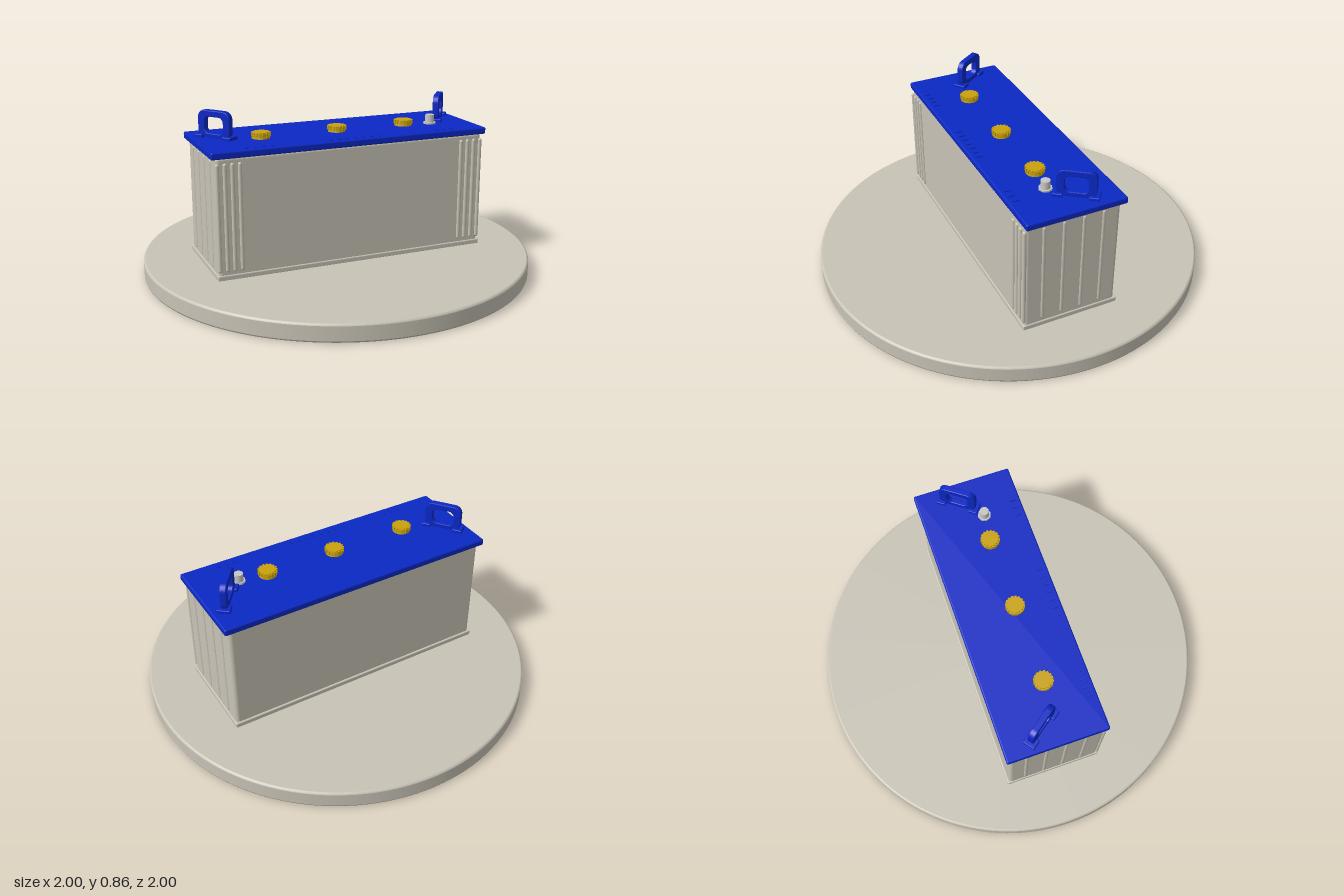
import * as THREE from 'three';
import { RoundedBoxGeometry } from 'three/addons/geometries/RoundedBoxGeometry.js';

const flat = (name, color) => Object.assign(new THREE.MeshStandardMaterial({ color }), { name });

// Rounded rectangle outline centred on (cx, cy)
function roundRect(target, cx, cy, w, h, r) {
  const x = cx - w / 2, y = cy - h / 2;
  target.moveTo(x + r, y);
  target.lineTo(x + w - r, y);
  target.absarc(x + w - r, y + r, r, -Math.PI / 2, 0);
  target.lineTo(x + w, y + h - r);
  target.absarc(x + w - r, y + h - r, r, 0, Math.PI / 2);
  target.lineTo(x + r, y + h);
  target.absarc(x + r, y + h - r, r, Math.PI / 2, Math.PI);
  target.lineTo(x, y + r);
  target.absarc(x + r, y + r, r, Math.PI, Math.PI * 1.5);
  return target;
}

export function createModel() {
  const model = new THREE.Group();
  model.name = 'batteryOnStand';
  const stone = flat('warmGrey', 0xc8c3b6);
  const blue = flat('blue', 0x0a28c4);
  const yellow = flat('yellow', 0xc9a20c);
  const lead = flat('leadGrey', 0xc6c6c4);

  function add(name, geometry, material, x = 0, y = 0, z = 0, parent = model) {
    const mesh = new THREE.Mesh(geometry, material);
    mesh.name = name;
    mesh.position.set(x, y, z);
    parent.add(mesh);
    return mesh;
  }
  const box = (w, h, d, r) => new RoundedBoxGeometry(w, h, d, 3, r);

  // Round stand with softened rims
  const rim = [[0, 0], [0.99, 0], [0.99, 0], [0.997, 0.003], [1, 0.01], [1, 0.01], [1, 0.08], [1, 0.08],
    [0.997, 0.087], [0.99, 0.09], [0.99, 0.09], [0, 0.09]].map(p => new THREE.Vector2(...p));
  add('stand', new THREE.LatheGeometry(rim, 128), stone);

  // Case and its foot flange
  add('case', box(1.42, 0.61, 0.49, 0.02), stone, 0, 0.39, 0.005);
  add('caseFlange', box(1.432, 0.028, 0.505, 0.006), stone, 0, 0.1, 0.003);

  // Vertical ribs at the front corners and on both ends
  const rib = new THREE.CapsuleGeometry(0.01, 0.515, 4, 12);
  for (const side of [-1, 1]) {
    for (let i = 0; i < 4; i++) add('frontRib', rib, stone, side * (0.592 + i * 0.037), 0.397, 0.25);
    for (let i = 0; i < 4; i++) add('endRib', rib, stone, side * 0.706, 0.397, 0.155 - i * 0.102);
  }

  // Lid
  add('lid', box(1.466, 0.035, 0.514, 0.008), blue, 0.002, 0.7015, -0.002);

  // Short raised ribs along the front of the lid
  for (const [start, count] of [[-0.55, 4], [-0.12, 7], [0.46, 3]])
    for (let i = 0; i < count; i++)
      add('lidRib', new THREE.BoxGeometry(0.008, 0.006, 0.03), blue, start + i * 0.043, 0.721, 0.217);

  // Carry handles: a rounded loop standing on two feet, set diagonally
  const loop = roundRect(new THREE.Shape(), 0, 0.07, 0.19, 0.14, 0.04);
  loop.holes.push(roundRect(new THREE.Path(), 0, 0.067, 0.112, 0.082, 0.026));
  const loopGeo = new THREE.ExtrudeGeometry(loop, {
    depth: 0.024, bevelEnabled: true, bevelSize: 0.004, bevelThickness: 0.004,
    bevelOffset: -0.004, bevelSegments: 2, curveSegments: 8,
  });
  loopGeo.translate(0, 0, -0.012);
  for (const side of [-1, 1]) {
    const handle = new THREE.Group();
    handle.name = side < 0 ? 'rightHandle' : 'leftHandle';
    handle.position.set(side * 0.62, 0.716, -0.052);
    handle.rotation.y = side * 0.93;
    add('handleLoop', loopGeo, blue, 0, 0, 0, handle);
    for (const end of [-1, 1]) add('handleFoot', box(0.05, 0.022, 0.066, 0.004), blue, end * 0.085, 0.008, 0, handle);
    model.add(handle);
  }

  // Filler caps with gripped edges
  for (const x of [-0.415, -0.01, 0.367]) {
    const cap = new THREE.Group();
    cap.name = 'fillerCap';
    cap.position.set(x, 0.717, 0.033);
    add('capBody', new THREE.CylinderGeometry(0.041, 0.046, 0.034, 32), yellow, 0, 0.017, 0, cap);
    add('capCollar', new THREE.CylinderGeometry(0.047, 0.047, 0.006, 32), yellow, 0, 0.021, 0, cap);
    for (let i = 0; i < 16; i++) {
      const a = i * Math.PI / 8;
      const grip = add('capGrip', new THREE.BoxGeometry(0.008, 0.02, 0.009), yellow,
        Math.cos(a) * 0.045, 0.022, Math.sin(a) * 0.045, cap);
      grip.rotation.y = -a;
    }
    model.add(cap);
  }

  // Terminal post on its octagonal base
  add('terminalBase', new THREE.CylinderGeometry(0.034, 0.034, 0.012, 8), lead, 0.514, 0.722, 0.052);
  add('terminalPost', new THREE.CylinderGeometry(0.023, 0.025, 0.05, 24), lead, 0.514, 0.742, 0.052);

  return model;
}
